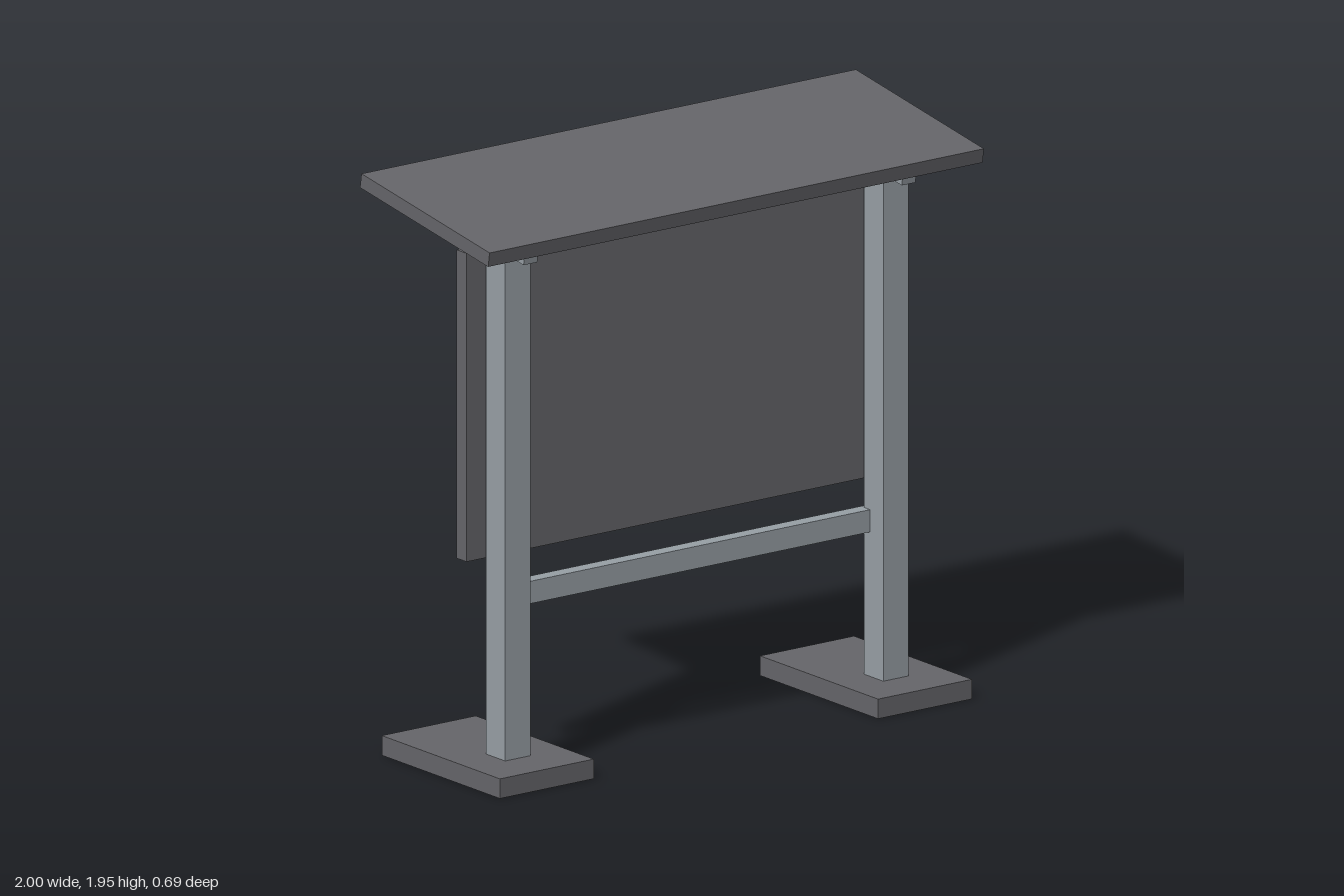
import * as THREE from 'three';

const mat = (color) => new THREE.MeshStandardMaterial({ color });

export function createModel() {
  const model = new THREE.Group();
  model.name = 'noticeBoard';

  const dark = mat(0x66666a);
  const steel = mat(0x98a0a6);
  const cream = mat(0xd2d0c6);
  const amber = mat(0xd9a452);
  const slate = mat(0x69717b);
  const blue = mat(0x4f8ba3);

  // Box given by its size and centre
  function box(name, material, size, pos, parent = model) {
    const mesh = new THREE.Mesh(new THREE.BoxGeometry(...size), material);
    mesh.name = name;
    mesh.position.set(...pos);
    parent.add(mesh);
    return mesh;
  }

  // Sloping roof, high at the back
  const slope = THREE.MathUtils.degToRad(9);
  box('roof', dark, [2, 0.049, 0.692], [0, 1.87, 0]).rotation.x = slope;

  // Mirrored supports: foot, post, cap plate and rafter
  for (const [side, s] of [['left', 1], ['right', -1]]) {
    const support = new THREE.Group();
    support.name = side + 'Support';
    support.position.x = s * 0.765;
    model.add(support);
    box('foot', dark, [0.38, 0.066, 0.63], [0, 0.033, 0.026], support);
    box('post', steel, [0.102, 1.71, 0.102], [0, 0.92, 0.135], support);
    box('capPlate', amber, [0.142, 0.03, 0.142], [0, 1.784, 0.136], support);
    box('rafter', steel, [0.055, 0.05, 0.472], [0, 1.803, 0.024], support).rotation.x = slope;
  }

  // Cross rail set into the back of the posts
  box('crossRail', steel, [1.53, 0.075, 0.05], [0, 0.588, 0.09]);

  // Backing board and raised display panel
  box('backingBoard', dark, [1.772, 1.035, 0.054], [0, 1.238, 0.045]);
  box('displayPanel', cream, [1.65, 0.925, 0.025], [0, 1.238, 0.0095]);

  // Relief picture on the back of the panel
  const relief = new THREE.Group();
  relief.name = 'reliefPicture';
  model.add(relief);
  box('headerBar', amber, [1.475, 0.09, 0.016], [0, 1.619, -0.01], relief);

  // Mountains are squares standing on a corner
  for (const [x, y, side, depth] of [[0.43, 1.126, 0.297, 0.016], [0.015, 1.196, 0.384, 0.018]]) {
    box('mountain', slate, [side, side, depth], [x, y, -0.002 - depth / 2], relief).rotation.z = Math.PI / 4;
  }

  // Water lines, each shorter than the one above
  for (const [x, y, length] of [[-0.06, 0.967, 1.06], [0.022, 0.897, 0.935], [0.105, 0.827, 0.79]]) {
    box('waterLine', blue, [length, 0.032, 0.013], [x, y, -0.0085], relief);
  }

  // Flattened dome for the sun
  const sun = new THREE.Mesh(new THREE.SphereGeometry(0.112, 32, 20), amber);
  sun.name = 'sun';
  sun.scale.z = 0.15;
  sun.position.set(-0.497, 1.369, -0.002);
  relief.add(sun);

  return model;
}
